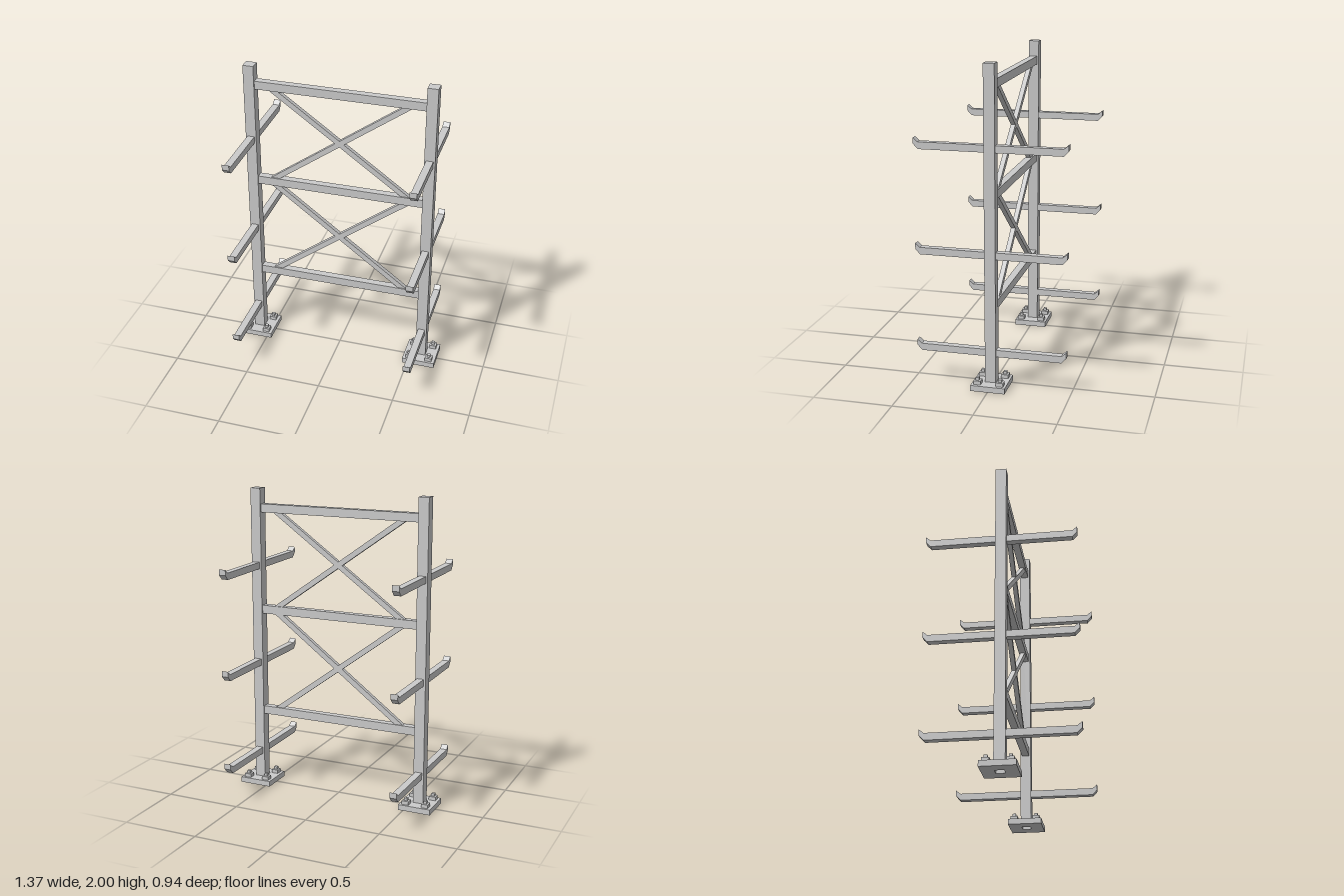
import * as THREE from 'three';

const mat = new THREE.MeshStandardMaterial({ color: 0xcccccc, flatShading: true });

function add(parent, name, geo, x = 0, y = 0, z = 0) {
  const m = new THREE.Mesh(geo, mat);
  m.name = name;
  m.position.set(x, y, z);
  parent.add(m);
  return m;
}

// Closed outline extruded symmetrically about z = 0
function slab(points, depth, hole) {
  const shape = new THREE.Shape(points.map(([x, y]) => new THREE.Vector2(x, y)));
  if (hole) shape.holes.push(new THREE.Path(hole.map(([x, y]) => new THREE.Vector2(x, y))));
  return new THREE.ExtrudeGeometry(shape, { depth, bevelEnabled: false }).translate(0, 0, -depth / 2);
}

const square = (h) => [[-h, -h], [h, -h], [h, h], [-h, h]];

const POST_X = 0.575;
const POST_W = 0.068;
const PLATE_W = 0.216;
const PLATE_H = 0.036;
const BEAM_H = 0.054;
const BEAMS = [0.513, 1.206, 1.872]; // centre heights
const ARMS = [0.202, 0.824, 1.476]; // underside heights

// Straight arm with both ends turned up, running along z
function armGeometry() {
  const half = [[0.44, 0], [0.47, 0.032], [0.47, 0.068], [0.441, 0.044]];
  const mirrored = half.map(([z, y]) => [-z, y]).reverse();
  return slab([...half, ...mirrored], 0.045).rotateY(Math.PI / 2);
}

// Diagonal brace with ends cut level against the beams
function braceGeometry(y0, y1, dir) {
  const x = 0.426 * dir, w = 0.029;
  return slab([[-x - w, y0], [-x + w, y0], [x + w, y1], [x - w, y1]], 0.03);
}

function createUpright() {
  const g = new THREE.Group();
  g.name = 'upright';

  // Hollow post with a closed top
  const tube = slab(square(POST_W / 2), 1.99, square(POST_W / 2 - 0.006)).rotateX(-Math.PI / 2);
  add(g, 'post', tube, 0, 0.995, 0);
  add(g, 'postCap', new THREE.BoxGeometry(POST_W, 0.01, POST_W), 0, 1.995, 0);

  // Foot plate fitted around the post
  const plate = slab(square(PLATE_W / 2), PLATE_H, square(POST_W / 2)).rotateX(-Math.PI / 2);
  add(g, 'footPlate', plate, 0, PLATE_H / 2, 0);

  // Anchor bolts with square nuts
  for (const sx of [-1, 1]) {
    for (const sz of [-1, 1]) {
      const x = sx * 0.066, z = sz * 0.071;
      add(g, 'nut', new THREE.BoxGeometry(0.045, 0.024, 0.045), x, PLATE_H + 0.012, z);
      add(g, 'bolt', new THREE.BoxGeometry(0.021, 0.018, 0.021), x, PLATE_H + 0.033, z);
    }
  }

  // Storage arms reaching to front and back
  for (const y of ARMS) add(g, 'arm', armGeometry(), 0, y, 0);
  return g;
}

export function createModel() {
  const model = new THREE.Group();
  model.name = 'storageRack';

  for (const side of [-1, 1]) {
    const upright = createUpright();
    upright.name = side > 0 ? 'leftUpright' : 'rightUpright';
    upright.position.x = side * POST_X;
    model.add(upright);
  }

  // Cross beams between the posts
  const length = 2 * POST_X - POST_W;
  for (const y of BEAMS) add(model, 'crossBeam', new THREE.BoxGeometry(length, BEAM_H, 0.047), 0, y, 0);

  // X bracing in each bay
  for (let i = 0; i < BEAMS.length - 1; i++) {
    const y0 = BEAMS[i] + BEAM_H / 2, y1 = BEAMS[i + 1] - BEAM_H / 2;
    for (const dir of [-1, 1]) add(model, 'brace', braceGeometry(y0, y1, dir));
  }
  return model;
}
